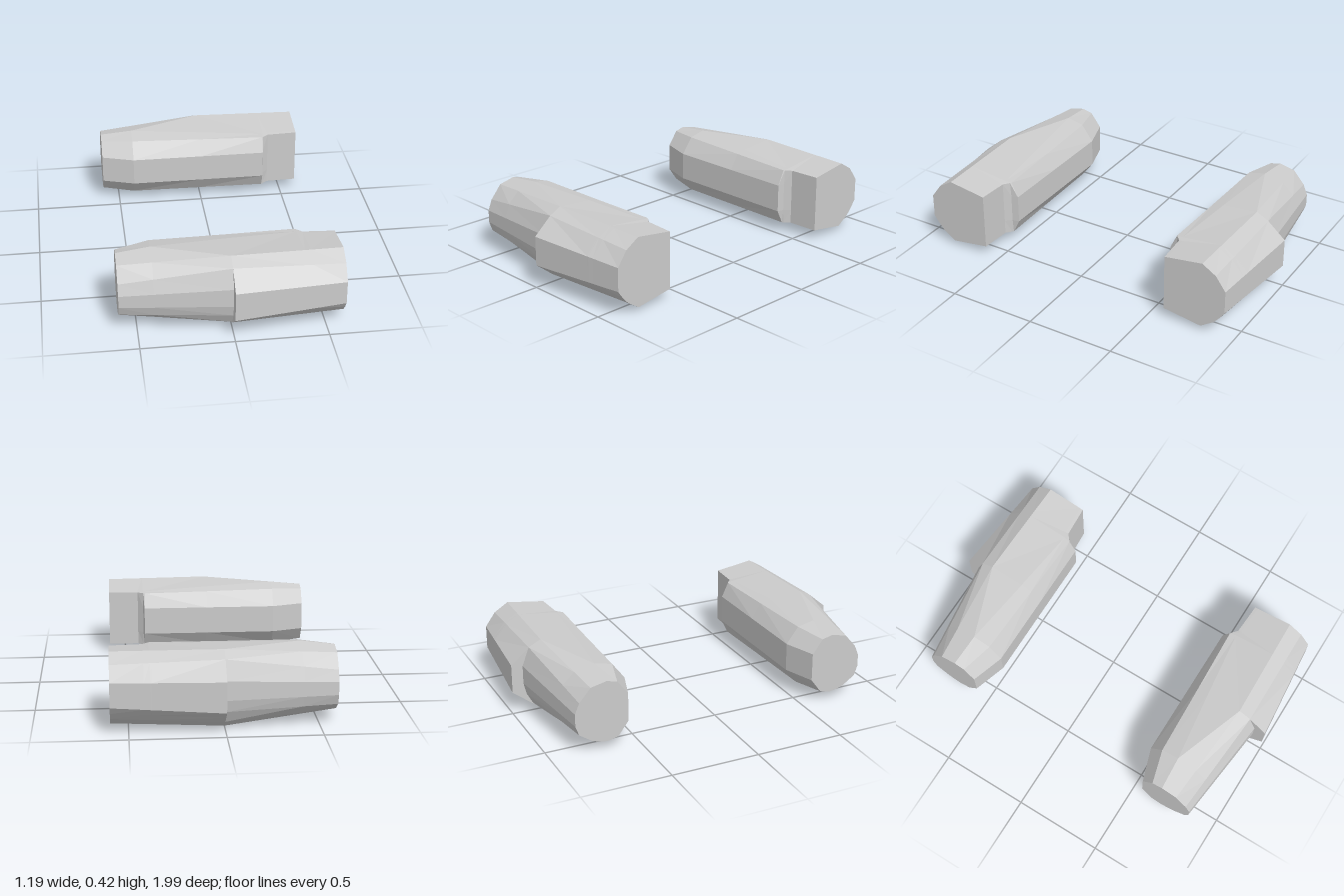
import * as THREE from 'three';

// Cross-section points are [distance from the centre plane, height].
// Outer half, from the top ridge round the outside to the bottom ridge.
const tail = [[0.77, 0.375], [0.835, 0.3], [0.86, 0.24], [0.86, 0.17], [0.84, 0.115], [0.77, 0.068], [0.73, 0.053]];
const waist = [[0.82, 0.42], [0.89, 0.385], [0.93, 0.28], [0.93, 0.175], [0.915, 0.11], [0.88, 0.045], [0.82, 0.003]];
const step = [[0.82, 0.42], [0.89, 0.385], [0.995, 0.295], [0.995, 0.13], [0.94, 0.088], [0.89, 0.048], [0.82, 0.003]];
const nose = [[0.805, 0.416], [0.885, 0.367], [0.943, 0.287], [0.943, 0.155], [0.915, 0.115], [0.88, 0.076], [0.805, 0.026]];

const mix = (a, b, t) => a.map((p, i) => [p[0] + (b[i][0] - p[0]) * t, p[1] + (b[i][1] - p[1]) * t]);

// Section: upper crease, outer half, lower crease, inner bulge
function section(x, outer, top, bottom, edge, edgeTop, edgeBottom, inner) {
  const pts = [top, ...outer, bottom, [edge, edgeBottom], [inner, 0.14], [inner, 0.3], [edge, edgeTop]];
  return pts.map(([d, y]) => [x, y, d]);
}

const sections = [
  section(-0.595, tail, [0.68, 0.395], [0.68, 0.045], 0.62, 0.38, 0.06, 0.56),
  section(-0.41, mix(tail, waist, 0.31), [0.67, 0.415], [0.67, 0.02], 0.57, 0.393, 0.05, 0.5),
  section(0, waist, [0.62, 0.403], [0.62, 0.037], 0.555, 0.388, 0.055, 0.5),
  section(0, step, [0.62, 0.403], [0.62, 0.037], 0.555, 0.388, 0.055, 0.5),
  section(0.38, mix(step, nose, 0.64), [0.577, 0.389], [0.577, 0.055], 0.54, 0.385, 0.06, 0.5),
  section(0.388, mix(step, nose, 0.65), [0.577, 0.389], [0.577, 0.055], 0.545, 0.385, 0.06, 0.54),
  section(0.42, mix(step, nose, 0.71), [0.59, 0.387], [0.59, 0.055], 0.572, 0.384, 0.06, 0.572),
  section(0.595, nose, [0.6, 0.386], [0.6, 0.056], 0.583, 0.383, 0.058, 0.583),
];

// Loft through the sections; side -1 mirrors the body to the back
function podGeometry(side) {
  const pos = [];
  const tri = (a, b, c) => {
    for (const p of side > 0 ? [a, b, c] : [a, c, b]) pos.push(p[0], p[1], p[2] * side);
  };
  const n = sections[0].length;
  for (let s = 0; s < sections.length - 1; s++) {
    const a = sections[s], b = sections[s + 1];
    for (let i = 0; i < n; i++) {
      const j = (i + 1) % n;
      // Choose the diagonal so the ridges fan out from the waist
      const fan = (i === 0 && s >= 3) || (i === 7 && s < 3);
      if (fan) {
        tri(a[i], a[j], b[i]);
        tri(a[j], b[j], b[i]);
      } else {
        tri(a[i], a[j], b[j]);
        tri(a[i], b[j], b[i]);
      }
    }
  }
  // Flat end caps
  const first = sections[0], last = sections[sections.length - 1];
  for (let i = 1; i < n - 1; i++) {
    tri(last[0], last[i], last[i + 1]);
    tri(first[0], first[i + 1], first[i]);
  }
  const geo = new THREE.BufferGeometry();
  geo.setAttribute('position', new THREE.Float32BufferAttribute(pos, 3));
  geo.computeVertexNormals();
  return geo;
}

export function createModel() {
  const group = new THREE.Group();
  group.name = 'podPair';
  const material = new THREE.MeshStandardMaterial({ color: 0xcccccc, flatShading: true });
  for (const [name, side] of [['frontPod', 1], ['backPod', -1]]) {
    const pod = new THREE.Mesh(podGeometry(side), material);
    pod.name = name;
    group.add(pod);
  }
  return group;
}
